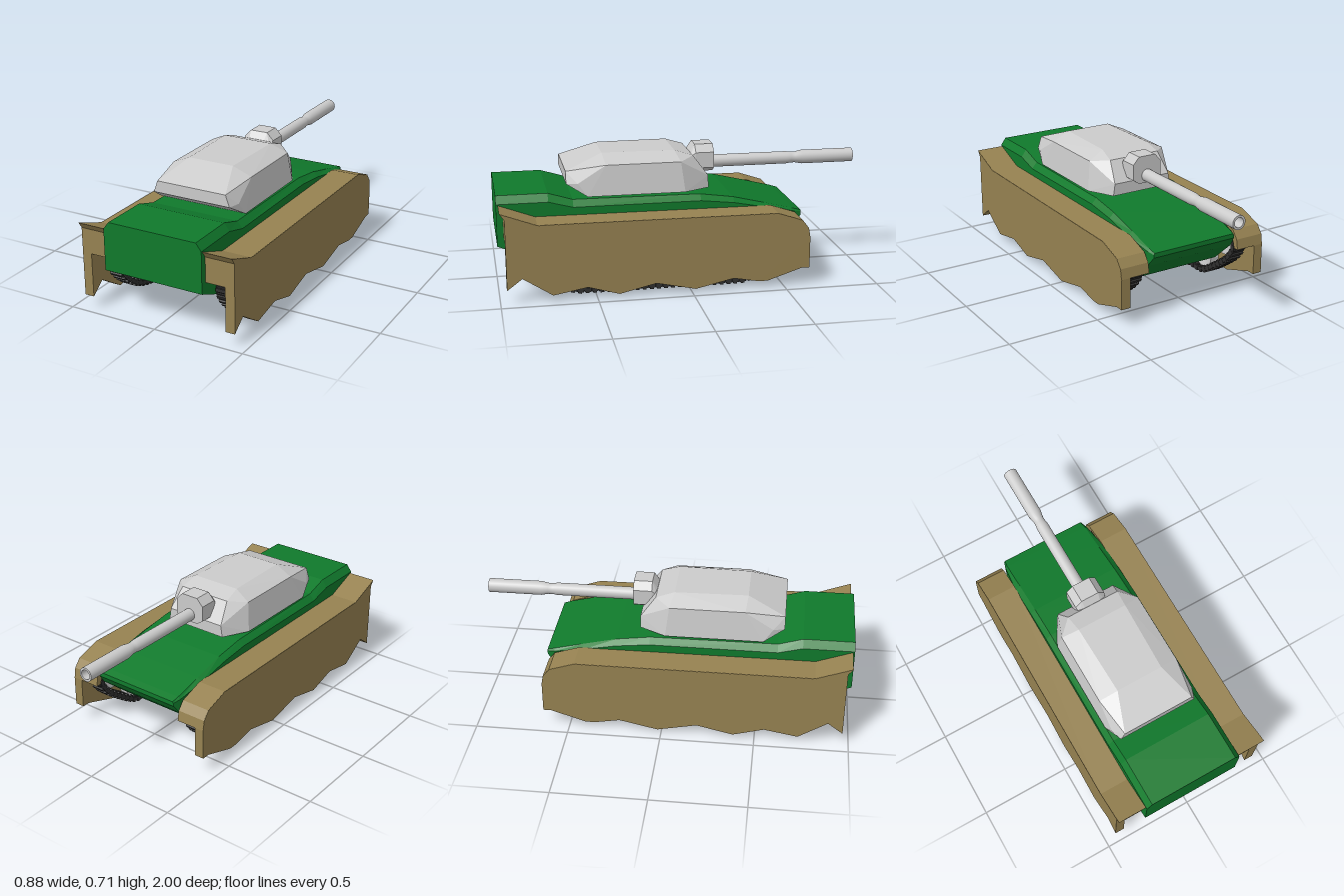
import * as THREE from 'three';
import { mergeGeometries } from 'three/addons/utils/BufferGeometryUtils.js';
import { ConvexGeometry } from 'three/addons/geometries/ConvexGeometry.js';

const mat = (color, flatShading = true) =>
  new THREE.MeshStandardMaterial({ color, flatShading, roughness: 0.8 });
const GREY = mat(0xcccccc), GREY_SMOOTH = mat(0xcccccc, false);
const GREEN = mat(0x107a2c), TAN = mat(0x968251), BLACK = mat(0x303030);

function part(parent, name, geometry, material) {
  const mesh = new THREE.Mesh(geometry, material);
  mesh.name = name;
  parent.add(mesh);
  return mesh;
}

// Side profile of [z, y] points, extruded from x0 to x1
function sideExtrude(points, x0, x1) {
  const shape = new THREE.Shape(points.map(([z, y]) => new THREE.Vector2(z, y)));
  return new THREE.ExtrudeGeometry(shape, { depth: x1 - x0, bevelEnabled: false })
    .rotateY(-Math.PI / 2).translate(x1, 0, 0);
}

// Skin over closed cross-sections, listed from +z to -z, capped at both ends
function loft(sections) {
  const pos = [];
  const tri = (a, b, c) => pos.push(...a, ...b, ...c);
  const n = sections[0].length;
  for (let i = 0; i < sections.length - 1; i++) {
    for (let j = 0; j < n; j++) {
      const k = (j + 1) % n, s = sections[i], t = sections[i + 1];
      tri(s[j], t[j], t[k]);
      tri(s[j], t[k], s[k]);
    }
  }
  const first = sections[0], last = sections[sections.length - 1];
  for (let j = 1; j < n - 1; j++) {
    tri(first[0], first[j], first[j + 1]);
    tri(last[0], last[j + 1], last[j]);
  }
  const g = new THREE.BufferGeometry();
  g.setAttribute('position', new THREE.Float32BufferAttribute(pos, 3));
  g.computeVertexNormals();
  return g;
}

function hullGeometry() {
  // z, bottom, shoulder, top, half width, half width of the deck
  const rows = [
    [1, 0.26, 0.485, 0.525, 0.28, 0.25],
    [0.73, 0.145, 0.485, 0.525, 0.28, 0.25],
    [0.6, 0.145, 0.45, 0.485, 0.28, 0.25],
    [-0.08, 0.145, 0.45, 0.48, 0.28, 0.25],
    [-0.26, 0.145, 0.43, 0.455, 0.28, 0.25],
    [-0.44, 0.145, 0.395, 0.412, 0.28, 0.25],
    [-0.6, 0.28, 0.36, 0.372, 0.262, 0.25],
    [-0.64, 0.335, 0.352, 0.36, 0.25, 0.245],
  ];
  return loft(rows.map(([z, b, s, t, w, d]) =>
    [[-w, b, z], [w, b, z], [w, s, z], [d, t, z], [-d, t, z], [-w, s, z]]));
}

function turretGeometry() {
  const half = [
    [0.13, 0.7, 0.43], [0.14, 0.7, 0.04],                          // roof
    [0.232, 0.655, 0.42], [0.232, 0.655, 0.02], [0.15, 0.668, -0.06], // upper rim
    [0.2, 0.625, 0.63], [0.222, 0.562, 0.63],                      // rear face
    [0.242, 0.565, 0.57], [0.17, 0.56, -0.14],
    [0.254, 0.495, 0.52], [0.254, 0.495, 0], [0.18, 0.495, -0.14], // base
  ];
  return new ConvexGeometry(half.flatMap(([x, y, z]) =>
    [new THREE.Vector3(x, y, z), new THREE.Vector3(-x, y, z)]));
}

// Loop of track links, each with a raised cleat
function trackGeometry(x) {
  const path = [
    [0.58, 0.02], [0.4, 0.02], [0.1, 0.02], [-0.2, 0.02], [-0.31, 0.025], [-0.44, 0.1],
    [-0.55, 0.19], [-0.585, 0.26], [-0.53, 0.33], [-0.4, 0.335], [0.1, 0.325], [0.74, 0.335],
    [0.85, 0.29], [0.86, 0.21], [0.74, 0.08],
  ].map(([z, y]) => new THREE.Vector3(x, y, z));
  const curve = new THREE.CatmullRomCurve3(path, true);
  const count = 84, pitch = curve.getLength() / count, links = [];
  for (let i = 0; i < count; i++) {
    const p = curve.getPointAt(i / count), t = curve.getTangentAt(i / count);
    const m = new THREE.Matrix4().makeRotationX(Math.atan2(-t.y, t.z));
    m.setPosition(x, Math.max(p.y, 0.02), p.z);
    links.push(
      new THREE.BoxGeometry(0.078, 0.022, pitch * 0.94).applyMatrix4(m),
      new THREE.BoxGeometry(0.07, 0.04, pitch * 0.5).applyMatrix4(m));
  }
  return mergeGeometries(links);
}

// Disc wheel with a stepped, domed hub on both faces
function wheelGeometry(r) {
  const profile = [[0, -0.036], [0.3, -0.034], [0.42, -0.02], [0.85, -0.026], [1, -0.026],
    [1, 0.026], [0.85, 0.026], [0.42, 0.02], [0.3, 0.034], [0, 0.036]];
  return new THREE.LatheGeometry(profile.map(([a, h]) => new THREE.Vector2(a * r, h)), 20)
    .rotateZ(Math.PI / 2);
}

const FENDER = [
  [0.99, 0.48], [0.8, 0.41], [-0.46, 0.405], [-0.595, 0.36], [-0.63, 0.315], [-0.64, 0.26],
  [-0.61, 0.26], [-0.595, 0.31], [-0.57, 0.34], [-0.45, 0.375], [0.8, 0.375], [0.92, 0.41],
  [0.92, 0.31], [0.965, 0.31], [0.965, 0.445],
];
const SKIRT = [
  [0.965, 0.47], [0.8, 0.409], [-0.46, 0.404], [-0.595, 0.359], [-0.63, 0.314], [-0.639, 0.26],
  [-0.639, 0.095], [-0.595, 0.095], [-0.41, 0.035], [-0.36, 0.035], [-0.225, 0.06],
  [-0.02, 0.015], [0.19, 0.06], [0.385, 0.015], [0.55, 0.062], [0.73, 0.03],
  [0.885, 0.13], [0.965, 0.07],
];

function runningGear(side) {
  const g = new THREE.Group();
  g.name = side > 0 ? 'leftRunningGear' : 'rightRunningGear';
  const slab = (pts, a, b) => side > 0 ? sideExtrude(pts, a, b) : sideExtrude(pts, -b, -a);
  part(g, 'fender', slab(FENDER, 0.277, 0.439), TAN);
  part(g, 'sideSkirt', slab(SKIRT, 0.388, 0.44), TAN);
  const x = side * 0.323;
  part(g, 'track', trackGeometry(x), BLACK);
  for (let i = 0; i < 7; i++) {
    part(g, 'roadWheel', wheelGeometry(0.073), GREY).position.set(x, 0.11, 0.55 - i * 0.143);
  }
  part(g, 'driveSprocket', wheelGeometry(0.07), GREY).position.set(x, 0.245, 0.77);
  part(g, 'idlerWheel', wheelGeometry(0.07), GREY).position.set(x, 0.25, -0.49);
  return g;
}

export function createModel() {
  const model = new THREE.Group();
  model.name = 'tank';
  part(model, 'hull', hullGeometry(), GREEN);
  model.add(runningGear(1), runningGear(-1));

  const turret = new THREE.Group();
  turret.name = 'turret';
  model.add(turret);
  part(turret, 'turretBody', turretGeometry(), GREY);

  // Chamfered block around the gun root, narrower at the back
  const collar = [[0.05, 0.555], [0.087, 0.58], [0.087, 0.665], [0.05, 0.705]];
  part(turret, 'mantlet', new ConvexGeometry(collar.flatMap(([x, y]) =>
    [1, -1].flatMap((s) => [
      new THREE.Vector3(s * x, y, -0.19), new THREE.Vector3(s * x, y, -0.09),
      new THREE.Vector3(s * x * 0.9, 0.6 + (y - 0.6) * 0.6, -0.06),
    ]))), GREY);

  // Barrel with a neck before the thicker muzzle section, open bore
  const barrel = [[0.034, 0.15], [0.034, 0.62], [0.03, 0.645], [0.03, 0.67], [0.038, 0.71],
    [0.038, 1], [0.038, 1], [0.026, 1], [0.026, 1], [0.026, 0.8], [0, 0.8]];
  part(turret, 'gunBarrel', new THREE.LatheGeometry(
    barrel.map(([r, d]) => new THREE.Vector2(r, d)), 24).rotateX(-Math.PI / 2), GREY_SMOOTH)
    .position.y = 0.596;
  return model;
}
